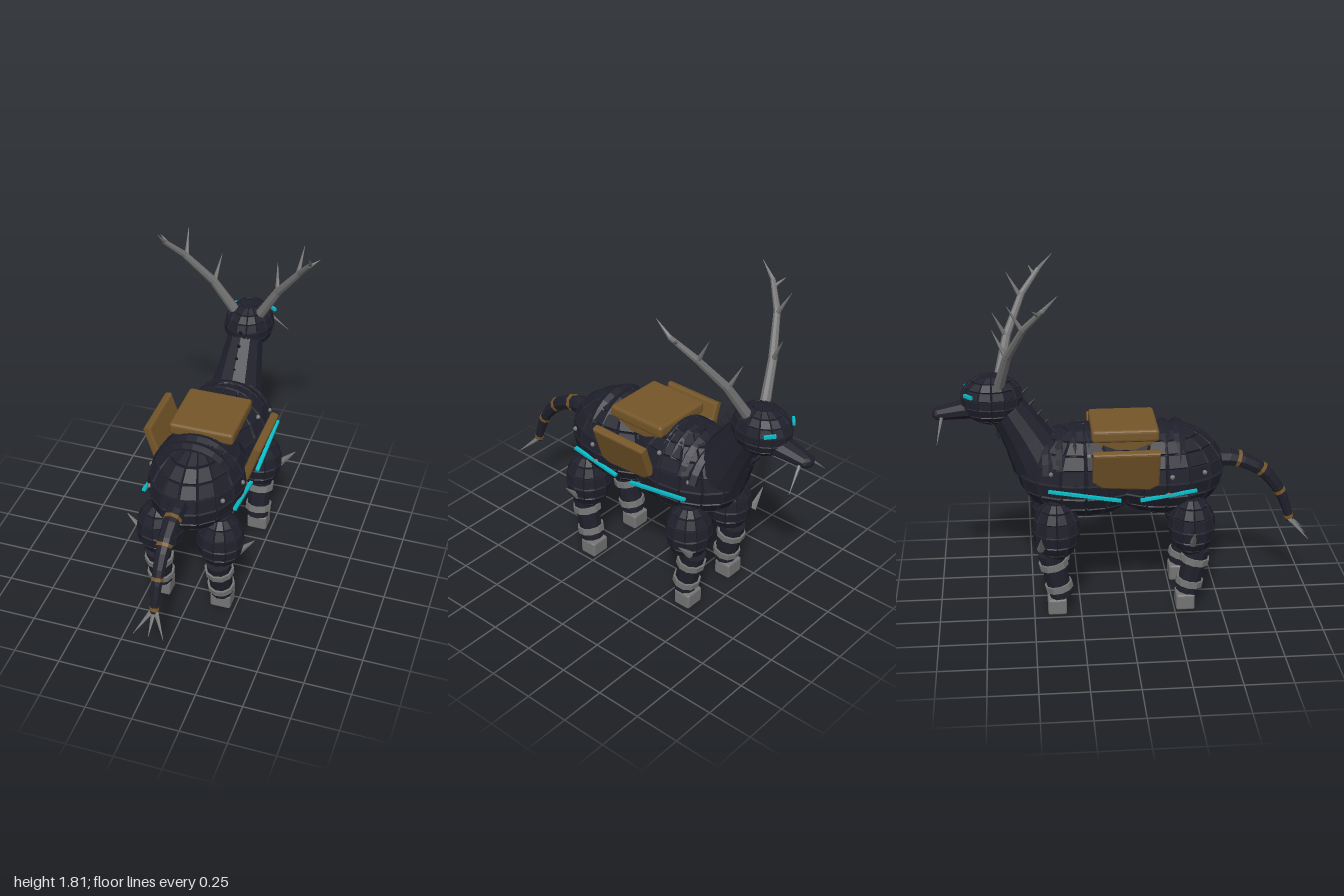
import * as THREE from 'three';
import { RoundedBoxGeometry } from 'three/addons/geometries/RoundedBoxGeometry.js';

const mat = (name, color) => {
  const m = new THREE.MeshStandardMaterial({ color, flatShading: true });
  m.name = name;
  return m;
};
const V = (x, y, z) => new THREE.Vector3(x, y, z);

export function createModel() {
  const root = new THREE.Group();
  const armour = mat('dark armour', 0x20202c);
  const steel = mat('grey steel', 0x747474);
  const leather = mat('brown leather', 0x755629);
  const glow = mat('cyan light', 0x08bcc8);

  const add = (name, geo, m, pos = V(0, 0, 0), parent = root) => {
    const mesh = new THREE.Mesh(geo, m);
    mesh.name = name;
    mesh.position.copy(pos);
    parent.add(mesh);
    return mesh;
  };

  // Tapered round bar from p (radius r0) to q (radius r1)
  const bar = (name, p, q, r0, r1, m, sides = 8) => {
    const d = q.clone().sub(p);
    const mesh = add(name, new THREE.CylinderGeometry(r1, r0, d.length(), sides), m,
      p.clone().add(q).multiplyScalar(0.5));
    mesh.quaternion.setFromUnitVectors(V(0, 1, 0), d.normalize());
    return mesh;
  };

  // Thin box strip whose long side runs from p to q
  const strip = (name, p, q, w, h, m) => {
    const mesh = add(name, new THREE.BoxGeometry(w, h, p.distanceTo(q)), m,
      p.clone().add(q).multiplyScalar(0.5));
    mesh.lookAt(q);
    return mesh;
  };

  // Ellipsoid made of raised, bevelled armour panels with grooves between them
  const panelled = (rx, ry, rz, around, down, groove = 0.012) => {
    const pos = [];
    const at = (u, v, k) => {
      const t = u / around * Math.PI * 2, f = v / down * Math.PI;
      return [Math.sin(f) * Math.cos(t) * (rx - k), Math.cos(f) * (ry - k), Math.sin(f) * Math.sin(t) * (rz - k)];
    };
    const quad = (a, b, c, d) => pos.push(...a, ...b, ...c, ...a, ...c, ...d);
    const e = 0.08;
    for (let i = 0; i < around; i++) for (let j = 0; j < down; j++) {
      const o = [[i, j], [i + 1, j], [i + 1, j + 1], [i, j + 1]].map(([u, v]) => at(u, v, groove));
      const n = [[i + e, j + e], [i + 1 - e, j + e], [i + 1 - e, j + 1 - e], [i + e, j + 1 - e]]
        .map(([u, v]) => at(u, v, 0));
      quad(...n);
      for (let k = 0; k < 4; k++) quad(o[k], o[(k + 1) % 4], n[(k + 1) % 4], n[k]);
    }
    const g = new THREE.BufferGeometry();
    g.setAttribute('position', new THREE.Float32BufferAttribute(pos, 3));
    g.computeVertexNormals();
    return g;
  };

  // Body: hindquarters and chest
  add('hindquarters', panelled(0.255, 0.25, 0.33, 16, 10), armour, V(0, 0.75, 0.2));
  add('chest', panelled(0.25, 0.255, 0.35, 16, 10), armour, V(0, 0.75, -0.22));

  // Overlapping plates across the back
  for (const [z, y] of [[0.27, 0.79], [0.2, 0.79], [-0.2, 0.785], [-0.27, 0.785], [-0.34, 0.77], [-0.41, 0.745]]) {
    const arc = new THREE.TorusGeometry(0.205, 0.028, 6, 10, Math.PI * 0.8);
    arc.rotateZ(Math.PI * 0.1);
    add('backPlate', arc, armour, V(0, y - 0.01, z)).scale.z = 1.3;
  }

  // Neck: stacked collars with small spines
  const neck = new THREE.CatmullRomCurve3([V(0, 0.82, -0.45), V(0, 0.98, -0.535), V(0, 1.18, -0.66)]);
  for (let i = 0; i < 5; i++) {
    const r = 0.155 - i * 0.013;
    bar('neckCollar', neck.getPoint(i / 5), neck.getPoint((i + 1.15) / 5), r, r - 0.018, armour, 12);
  }
  for (let i = 0; i < 4; i++) {
    const p = neck.getPoint(0.42 + i * 0.15);
    bar('neckSpine', p.clone().add(V(0, 0.05, 0.085)), p.clone().add(V(0, 0.09, 0.125)), 0.012, 0.002, armour, 5);
  }
  for (const t of [0.4, 0.6, 0.8]) {
    const p = neck.getPoint(t).add(V(0, -0.055, -0.095));
    add('throatStud', new THREE.BoxGeometry(0.06, 0.03, 0.03), armour, p).rotation.x = -0.55;
  }

  // Head and snout
  add('head', panelled(0.135, 0.135, 0.165, 14, 9, 0.008), armour, V(0, 1.16, -0.69));
  bar('snout', V(0, 1.115, -0.78), V(0, 1.085, -0.97), 0.078, 0.046, armour, 10).scale.z = 0.72;
  const nose = add('nose', new THREE.SphereGeometry(0.046, 10, 6), armour, V(0, 1.085, -0.965));
  nose.scale.set(1, 0.72, 0.8);

  // Tail: tapering segments with leather bands and a three-pronged tip
  const tail = new THREE.CatmullRomCurve3([V(0, 0.79, 0.48), V(0, 0.785, 0.59), V(0, 0.71, 0.74),
    V(0, 0.57, 0.845), V(0, 0.41, 0.9)]);
  const n = 8, tailR = t => 0.052 - 0.031 * t;
  for (let i = 0; i < n; i++) {
    const t = i / n;
    bar('tailSegment', tail.getPointAt(t), tail.getPointAt(Math.min(1, t + 1.1 / n)), tailR(t), tailR(t + 0.7 / n) - 0.002, armour);
  }
  for (const t of [0.2, 0.43, 0.7, 0.96]) {
    bar('tailBand', tail.getPointAt(t - 0.012), tail.getPointAt(t + 0.018), tailR(t) + 0.003, tailR(t) + 0.003, leather);
  }
  for (const x of [-0.08, 0, 0.08]) bar('tailProng', V(x * 0.1, 0.42, 0.895), V(x, 0.325, 0.99), 0.014, 0.001, steel, 6);

  // Saddle pack
  add('saddlePack', new RoundedBoxGeometry(0.35, 0.068, 0.35, 2, 0.018), leather, V(0, 0.991, -0.01));
  add('saddleBase', new THREE.BoxGeometry(0.3, 0.06, 0.3), leather, V(0, 0.94, -0.01));

  // Outline of a side bag: z runs along the shape's x
  const bagShape = new THREE.Shape([[-0.165, 0.095], [0.155, 0.095], [0.155, -0.1], [0.115, -0.125],
    [-0.125, -0.105], [-0.165, -0.07]].map(p => new THREE.Vector2(...p)));
  const bagGeo = new THREE.ExtrudeGeometry(bagShape, {
    depth: 0.025, bevelEnabled: true, bevelThickness: 0.01, bevelSize: 0.012, bevelSegments: 2 });
  bagGeo.translate(0, 0, -0.0125);
  bagGeo.rotateY(-Math.PI / 2);

  for (const s of [1, -1]) {
    const P = (x, y, z) => V(s * x, y, z);

    // Side bags lean outward at the top
    add('sideBag', bagGeo, leather, P(0.268, 0.855, -0.01)).rotation.z = -s * 0.32;

    // Light strips and eyes
    strip('rearLightStrip', P(0.248, 0.712, 0.355), P(0.248, 0.665, 0.06), 0.02, 0.014, glow);
    strip('frontLightStrip', P(0.25, 0.668, -0.04), P(0.255, 0.735, -0.415), 0.02, 0.014, glow);
    strip('eye', P(0.12, 1.205, -0.79), P(0.072, 1.205, -0.828), 0.014, 0.017, glow);

    // Rivets on the flanks
    for (const [y, z] of [[0.79, 0.225], [0.69, 0.21], [0.79, 0.4], [0.69, -0.2], [0.81, -0.4], [0.9, -0.2]]) {
      const c = z > 0 ? 0.2 : -0.22, rz = z > 0 ? 0.33 : 0.35;
      const x = 0.25 * Math.sqrt(1 - ((y - 0.75) / 0.25) ** 2 - ((z - c) / rz) ** 2);
      add('rivet', new THREE.SphereGeometry(0.013, 8, 6), steel, P(x + 0.003, y, z));
    }

    // Antler: branching beam with tines
    const beam = [P(0.07, 1.25, -0.65), P(0.18, 1.44, -0.605), P(0.315, 1.625, -0.52), P(0.392, 1.735, -0.43)];
    const radii = [0.028, 0.023, 0.018, 0.013];
    for (let i = 0; i < 3; i++) {
      bar('antlerBeam', beam[i], beam[i + 1], radii[i], radii[i + 1], steel);
      add('antlerJoint', new THREE.SphereGeometry(radii[i + 1], 8, 6), steel, beam[i + 1]);
    }
    bar('antlerTip', beam[3], P(0.405, 1.815, -0.355), 0.012, 0.001, steel, 6);
    bar('antlerTine', P(0.178, 1.43, -0.605), P(0.155, 1.575, -0.677), 0.015, 0.001, steel, 6);
    bar('antlerTine', P(0.305, 1.61, -0.525), P(0.318, 1.745, -0.6), 0.014, 0.001, steel, 6);
    bar('antlerTine', P(0.375, 1.71, -0.45), P(0.432, 1.748, -0.48), 0.012, 0.001, steel, 6);

    // Fang at the side of the snout
    bar('fang', P(0.035, 1.08, -0.95), P(0.15, 0.97, -0.975), 0.01, 0.001, steel, 6);

    // Legs: thigh, banded shin, hoof and thigh spur
    for (const [label, z, lean, spurZ] of [['rear', 0.34, 1, 0.335], ['front', -0.375, -1, -0.46]]) {
      add(label + 'Thigh', panelled(0.127, 0.17, 0.125, 12, 8, 0.008), armour, P(0.167, 0.48, z));
      const top = P(0.168, 0.345, z + lean * 0.032), low = P(0.172, 0.095, z - lean * 0.02);
      bar(label + 'Shin', top, low, 0.069, 0.061, armour, 10);
      for (const t of [0.25, 0.77]) {
        const r = 0.081 - t * 0.008;
        bar(label + 'ShinBand', top.clone().lerp(low, t - 0.07), top.clone().lerp(low, t + 0.07), r, r, steel, 10);
      }
      add(label + 'Hoof', new RoundedBoxGeometry(0.113, 0.09, 0.1, 2, 0.012), steel,
        P(0.172, 0.046, label === 'rear' ? 0.308 : -0.378));
      bar(label + 'ThighSpur', P(0.265, 0.415, spurZ), P(0.352, 0.51, spurZ), 0.022, 0.002, steel, 6);
    }
  }
  return root;
}
